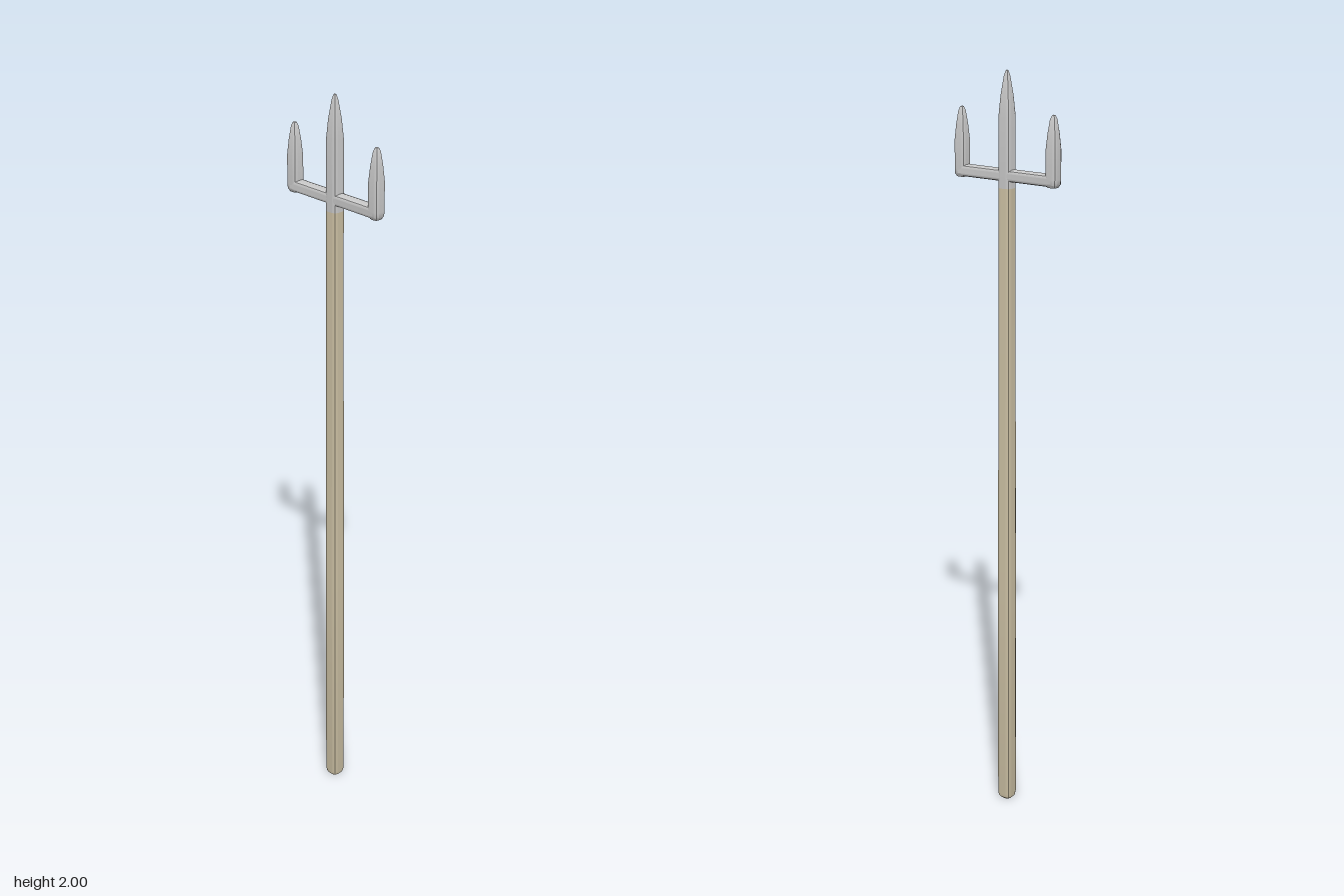
import * as THREE from 'three';
import { toCreasedNormals } from 'three/addons/utils/BufferGeometryUtils.js';

const wood = new THREE.MeshStandardMaterial({ color: 0xcfc3a6 });
const metal = new THREE.MeshStandardMaterial({ color: 0xcccccc });

// Upright bar with a rounded-square section; profile is [half width, height] from bottom to top
function roundedBar(name, profile, material) {
  const geo = new THREE.LatheGeometry(profile.map(([r, y]) => new THREE.Vector2(r, y)), 16);
  const pos = geo.attributes.position;
  for (let i = 0; i < pos.count; i++) {
    const x = pos.getX(i), z = pos.getZ(i);
    const r = Math.hypot(x, z);
    if (r < 1e-6) continue;
    const k = Math.pow(Math.abs(x / r) ** 3.2 + Math.abs(z / r) ** 3.2, -1 / 3.2);
    pos.setX(i, x * k);
    pos.setZ(i, z * k);
  }
  const mesh = new THREE.Mesh(toCreasedNormals(geo, 0.6), material);
  mesh.name = name;
  return mesh;
}

export function createModel() {
  const group = new THREE.Group();
  group.name = 'trident';

  // Gently tapering wooden shaft with a bevelled foot
  group.add(roundedBar('shaft', [
    [0, 0], [0.015, 0], [0.02, 0.005], [0.022, 0.016], [0.0215, 0.7], [0.0195, 1.25], [0.0185, 1.72], [0, 1.72],
  ], wood));

  // Long middle prong, continuing the shaft
  group.add(roundedBar('middleProng', [
    [0, 1.715], [0.0187, 1.715], [0.0185, 1.89], [0.014, 1.94], [0.007, 1.985], [0.003, 1.998], [0, 2],
  ], metal));

  // Crossbar running front to back
  const bar = roundedBar('crossbar', [[0, -0.14], [0.017, -0.14], [0.017, 0.14], [0, 0.14]], metal);
  bar.rotation.x = Math.PI / 2;
  bar.scale.z = 0.88;
  bar.position.y = 1.746;
  group.add(bar);

  // Short outer prongs
  for (const side of [-1, 1]) {
    const prong = roundedBar(side > 0 ? 'frontProng' : 'backProng', [
      [0, 1.73], [0.012, 1.73], [0.0165, 1.737], [0.017, 1.75], [0.017, 1.82],
      [0.013, 1.86], [0.008, 1.893], [0.004, 1.902], [0, 1.904],
    ], metal);
    prong.position.z = side * 0.136;
    group.add(prong);
  }
  return group;
}
